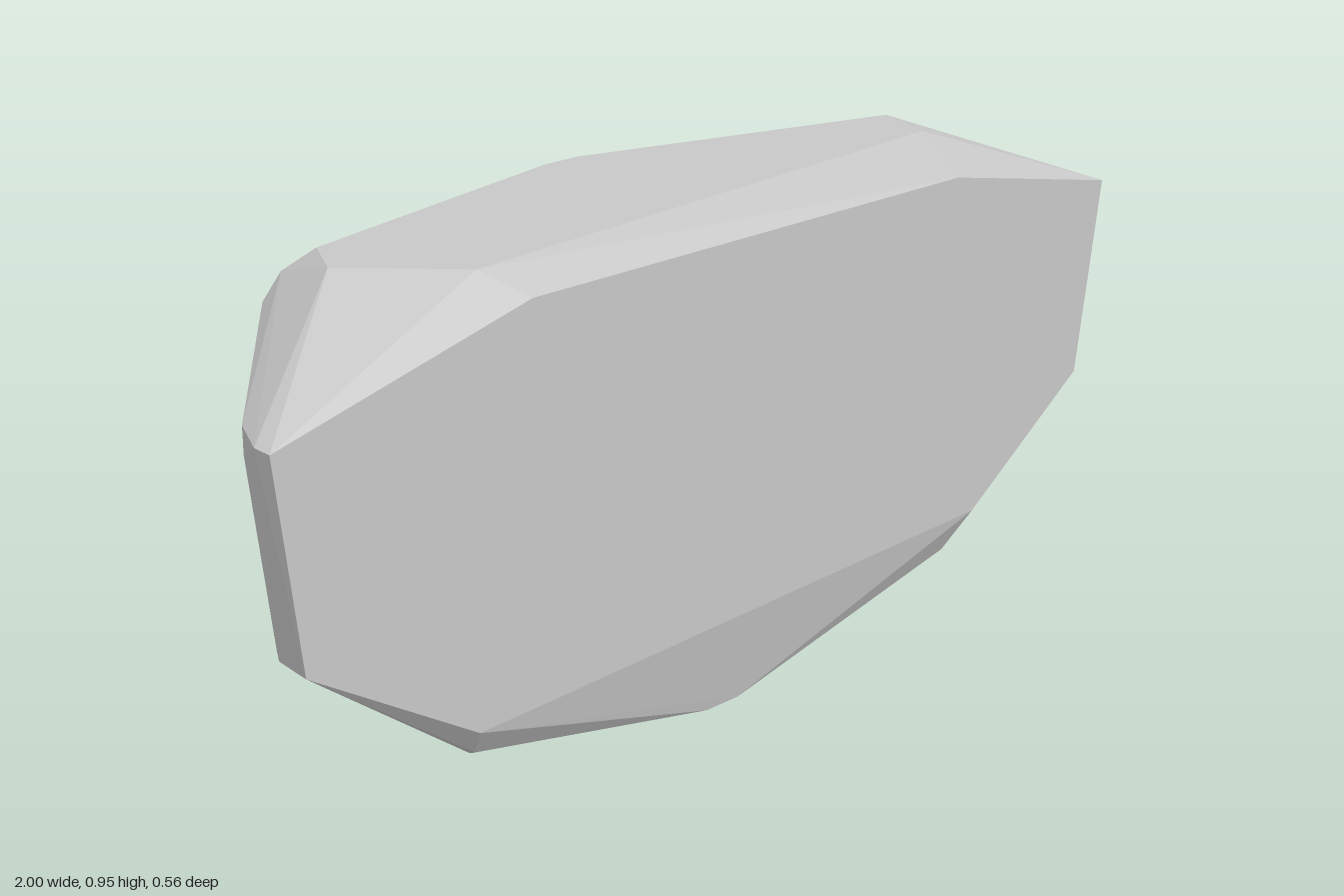
import * as THREE from 'three';
import { ConvexGeometry } from 'three/addons/geometries/ConvexGeometry.js';

export function createModel() {
  const group = new THREE.Group();
  group.name = 'rock';
  const stone = new THREE.MeshStandardMaterial({ color: 0xc7c7c7 });
  stone.name = 'stoneGrey';

  // Corners shared by both sides, mirrored in x
  const paired = [
    // back ridge and its ends at the top and underside
    [0.04, 0.955, -0.2], [0.04, 0.915, -0.28], [0.04, 0.305, -0.237],
    [0.04, 0, 0.2], [0.04, 0, 0.24],
    // rear shoulders
    [0.695, 0.915, -0.11], [0.735, 0.87, -0.11], [0.735, 0.78, -0.11],
    [0.71, 0.39, -0.065], [0.655, 0.305, -0.065],
    // side edges
    [0.96, 0.785, 0.15], [0.96, 0.735, 0.15], [0.92, 0.388, 0.15],
    // lower bevel
    [0.57, 0.09, 0.2], [0.56, 0.09, 0.15],
  ];

  // Corners that differ from side to side
  const front = [
    [-1, 0.785], [-0.955, 0.395], [-0.61, 0.175], [0.65, 0.215],
    [0.95, 0.435], [1, 0.825], [0.56, 0.915], [-0.48, 0.915],
  ].map(([x, y]) => [x, y, 0.28]);
  const top = [
    [-0.53, 0.2], [0.65, 0.11], [0.69, -0.02], [-0.65, -0.07], [-0.7, 0.03],
  ].map(([x, z]) => [x, 0.955, z]);
  const sides = [
    [1, 0.825, 0.24], [0.995, 0.74, 0.24], [0.95, 0.435, 0.2],
    [-1, 0.785, 0.24], [-0.95, 0.395, 0.2],
    [0.61, 0.13, 0.24], [-0.59, 0.115, 0.24], [0.03, 0.13, -0.02],
  ];

  const mirrored = paired.map(([x, y, z]) => [-x, y, z]);
  const corners = [...paired, ...mirrored, ...front, ...top, ...sides]
    .map((p) => new THREE.Vector3(...p));

  // Flat facets stretched over all the corners
  const boulder = new THREE.Mesh(new ConvexGeometry(corners), stone);
  boulder.name = 'boulder';
  group.add(boulder);
  return group;
}
